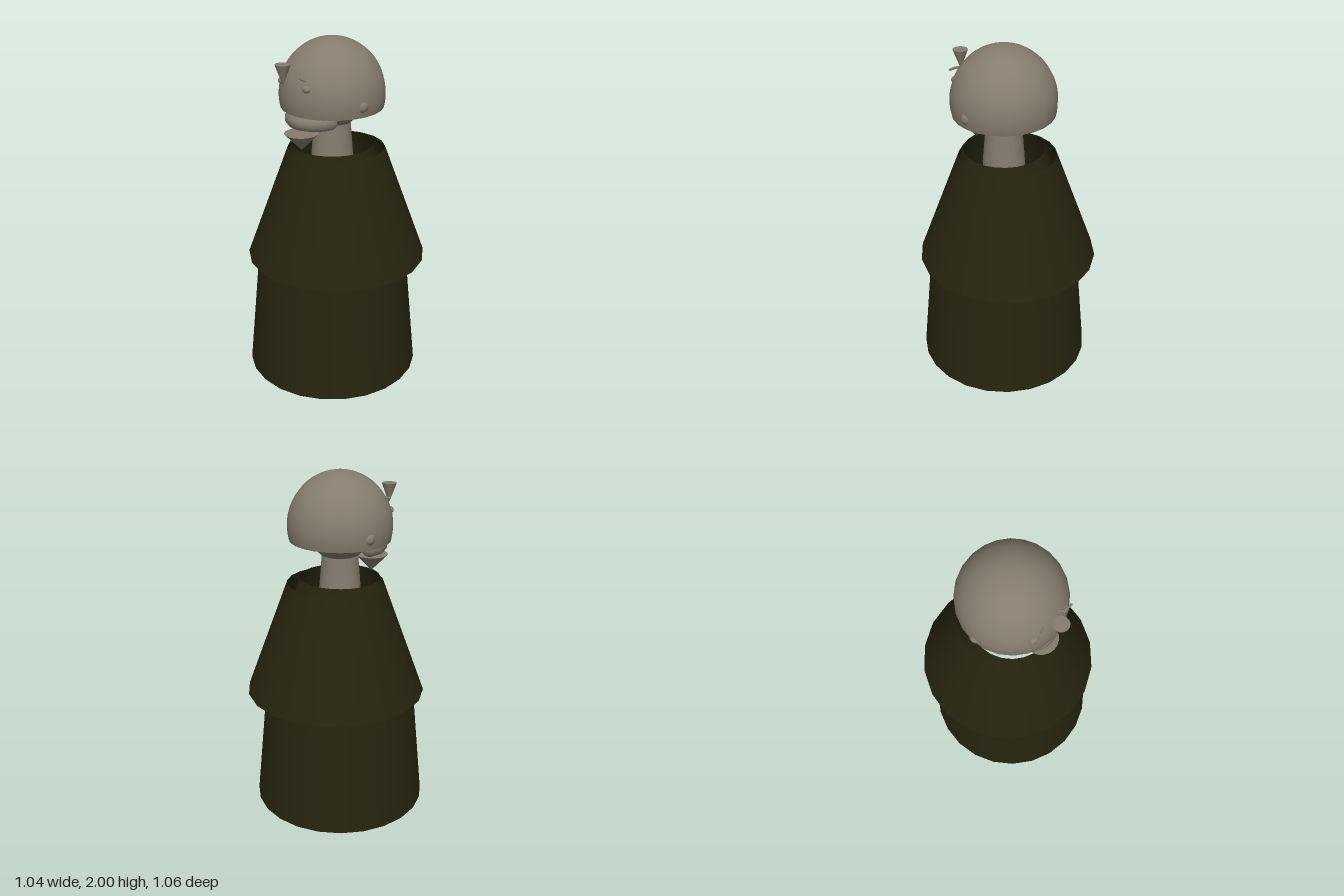
import * as THREE from 'three';

const skin = new THREE.MeshStandardMaterial({ color: 0x857c6e, side: THREE.DoubleSide });
skin.name = 'warm grey';
const cloth = new THREE.MeshStandardMaterial({ color: 0x26240f, side: THREE.DoubleSide });
cloth.name = 'dark olive';

const AXIS_Z = 0.025; // the figure's centre line

export function createModel() {
  const model = new THREE.Group();
  model.name = 'robedFigure';

  const add = (name, geometry, material, x, y, z) => {
    const mesh = new THREE.Mesh(geometry, material);
    mesh.name = name;
    mesh.position.set(x, y, z);
    model.add(mesh);
    return mesh;
  };

  // open truncated cone between two heights
  const tube = (name, rTop, rBottom, yTop, yBottom, sides, material, z) =>
    add(name, new THREE.CylinderGeometry(rTop, rBottom, yTop - yBottom, sides, 1, true),
      material, 0, (yTop + yBottom) / 2, z);

  // cone standing on its tip
  const spike = (name, radius, yTop, yTip, z) => {
    const geometry = new THREE.ConeGeometry(radius, yTop - yTip, 20);
    geometry.rotateX(Math.PI);
    return add(name, geometry, skin, 0, (yTop + yTip) / 2, z);
  };

  // arc lying flat, bulging to the front, with rounded ends
  const arc = (name, points, radius) => {
    const curve = new THREE.CatmullRomCurve3(points.map((p) => new THREE.Vector3(...p)));
    add(name, new THREE.TubeGeometry(curve, 20, radius, 10), skin, 0, 0, 0);
    for (const p of [points[0], points[points.length - 1]]) {
      add(name + 'End', new THREE.SphereGeometry(radius, 12, 8), skin, ...p);
    }
  };

  // robe: skirt, hidden torso ending in a collar, and the cape over both
  tube('skirt', 0.43, 0.509, 0.8, 0, 24, cloth, AXIS_Z);
  tube('torso', 0.23, 0.43, 1.395, 0.8, 24, cloth, AXIS_Z);
  tube('cape', 0.277, 0.522, 1.37, 0.71, 20, cloth, -0.004);

  // neck, jaw and skull
  tube('neck', 0.1, 0.122, 1.56, 1.3, 20, skin, AXIS_Z);
  const jaw = [[0, 1.53], [0.11, 1.53], [0.2, 1.615], [0.27, 1.69]]
    .map(([r, y]) => new THREE.Vector2(r, y));
  add('jaw', new THREE.LatheGeometry(jaw, 24), skin, 0, 0, AXIS_Z);
  const skull = new THREE.SphereGeometry(0.296, 24, 20, 0, Math.PI * 2, 0, 1.815);
  skull.scale(1, 0.31 / 0.296, 1);
  add('skull', skull, skin, 0, 1.69, AXIS_Z);

  // ears and eyes
  for (const [side, s] of [['left', 1], ['right', -1]]) {
    add(side + 'Ear', new THREE.SphereGeometry(0.037, 16, 12), skin, s * 0.27, 1.675, 0.037);
    const eye = add(side + 'Eye', new THREE.SphereGeometry(0.03, 12, 8), skin, s * 0.11, 1.773, 0.28);
    eye.scale.set(1, 0.65, 0.7);
  }

  // eyebrows
  arc('leftEyebrow', [[0.057, 1.828, 0.275], [0.085, 1.828, 0.297], [0.13, 1.828, 0.302]], 0.007);
  arc('rightEyebrow', [[-0.06, 1.828, 0.275], [-0.066, 1.828, 0.289], [-0.08, 1.828, 0.299]], 0.007);

  // nose and pointed beard
  spike('nose', 0.043, 1.895, 1.78, 0.35);
  spike('beard', 0.095, 1.495, 1.397, 0.238);

  // thick curved mouth
  const mouth = [];
  for (let i = 0; i <= 8; i++) {
    const a = (Math.PI * i) / 8;
    mouth.push([0.127 * Math.cos(a), 1.569, 0.14 + 0.127 * Math.sin(a)]);
  }
  arc('mouth', mouth, 0.044);

  return model;
}
